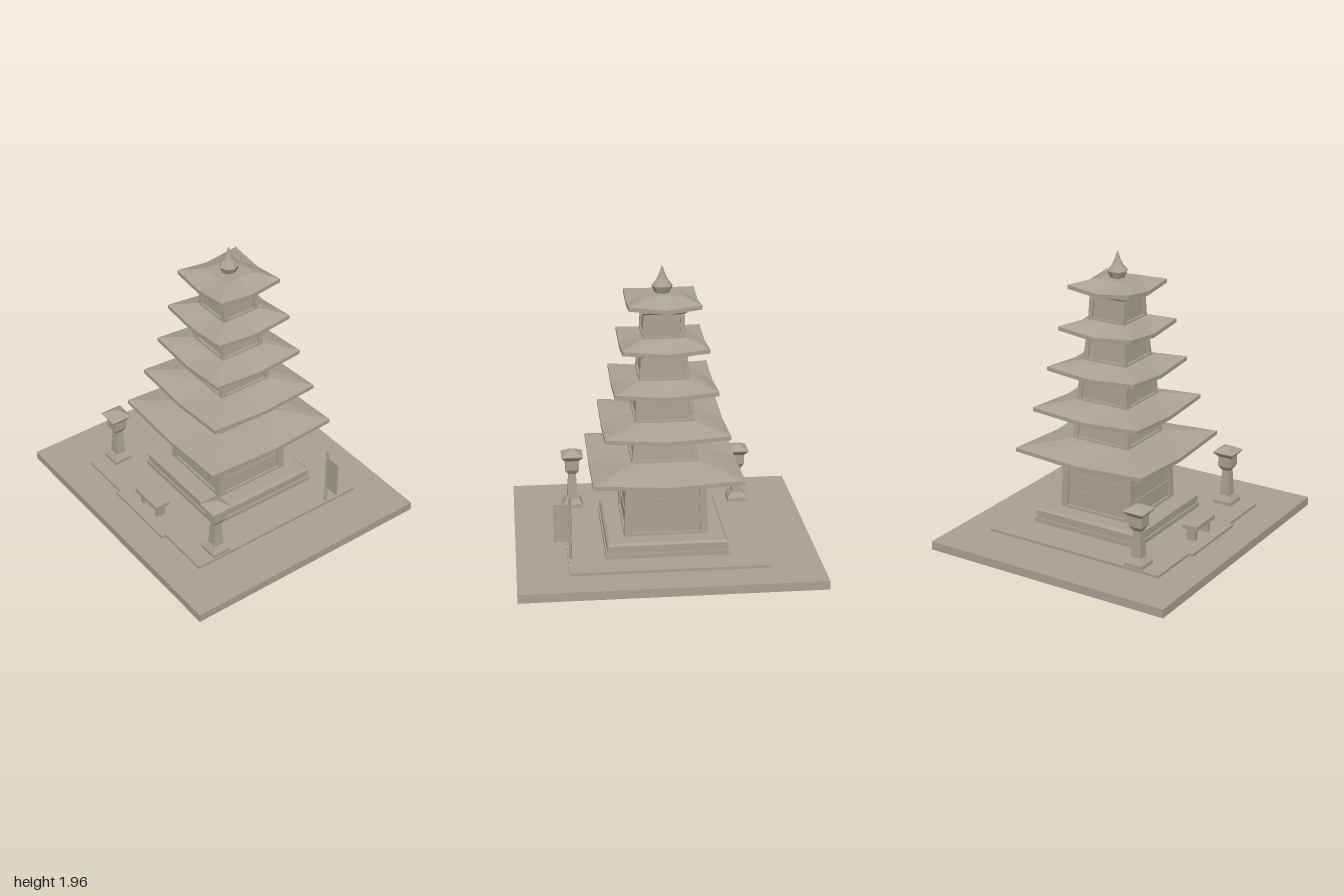
import * as THREE from 'three';

const stone = new THREE.MeshStandardMaterial({ color: 0xa8a292 });

// Mesh with hard-edged faces
function mesh(name, geometry, parent) {
  const g = geometry.index ? geometry.toNonIndexed() : geometry;
  g.computeVertexNormals();
  const m = new THREE.Mesh(g, stone);
  m.name = name;
  parent.add(m);
  return m;
}

// Box from its minimum and maximum corners
function block(name, x0, x1, y0, y1, z0, z1, parent) {
  const g = new THREE.BoxGeometry(x1 - x0, y1 - y0, z1 - z0);
  g.translate((x0 + x1) / 2, (y0 + y1) / 2, (z0 + z1) / 2);
  return mesh(name, g, parent);
}

// Square solid from a profile of [half width, height]
function squareSolid(name, profile, parent) {
  const first = profile[0], last = profile[profile.length - 1];
  const pts = [[0, first[1]], ...profile, [0, last[1]]];
  const g = new THREE.LatheGeometry(
    pts.map(([h, y]) => new THREE.Vector2(h * Math.SQRT2, y)), 4, Math.PI / 4);
  return mesh(name, g, parent);
}

// Roof with eaves that rise toward the four corners
function roof(half, y, topHalf, topY, parent) {
  const rings = [
    [0, y, y], [half, y, y + 0.029], [half, y + 0.027, y + 0.057],
    [topHalf, topY, topY], [0, topY, topY],
  ];
  const dirs = [[1, 0], [1, 1], [0, 1], [-1, 1], [-1, 0], [-1, -1], [0, -1], [1, -1]];
  const point = ([h, mid, corner], k) => {
    const [dx, dz] = dirs[k % 8];
    return [dx * h, dx * dz !== 0 ? corner : mid, dz * h];
  };
  const pos = [];
  for (let r = 0; r < rings.length - 1; r++) {
    for (let k = 0; k < 8; k++) {
      const a = point(rings[r], k), b = point(rings[r], k + 1);
      const c = point(rings[r + 1], k), d = point(rings[r + 1], k + 1);
      if (rings[r][0] > 0) pos.push(...a, ...c, ...b);
      if (rings[r + 1][0] > 0) pos.push(...b, ...c, ...d);
    }
  }
  const g = new THREE.BufferGeometry();
  g.setAttribute('position', new THREE.Float32BufferAttribute(pos, 3));
  return mesh('roof', g, parent);
}

// Tapered storey: recessed walls, leaning corner pillars, rails and cornice
function storey(s, parent) {
  const { y0, y1, bottom, top, pillar, cornice, eaveY } = s;
  const inset = 0.014, rail = 0.02;
  const at = (y) => bottom + (top - bottom) * (y - y0) / (y1 - y0);
  squareSolid('wall', [[bottom - inset, y0], [top - inset, y1]], parent);
  squareSolid('bottomRail', [[bottom, y0], [at(y0 + rail), y0 + rail]], parent);
  squareSolid('topRail', [[at(y1 - rail), y1 - rail], [top, y1]], parent);
  for (const sx of [-1, 1]) for (const sz of [-1, 1]) {
    const g = new THREE.BoxGeometry(pillar, y1 - y0, pillar);
    const p = g.attributes.position;
    for (let i = 0; i < p.count; i++) {
      const off = (p.getY(i) > 0 ? top : bottom) - pillar / 2;
      p.setX(i, p.getX(i) + sx * off);
      p.setZ(i, p.getZ(i) + sz * off);
    }
    g.translate(0, (y0 + y1) / 2, 0);
    mesh('cornerPillar', g, parent);
  }
  squareSolid('cornice', [
    [top, y1], [cornice - 0.012, y1 + 0.012], [cornice, y1 + 0.016], [cornice, eaveY + 0.01],
  ], parent);
  // Thin courses across the panels
  for (const y of s.courses || []) {
    const h = at(y) - inset + 0.007;
    squareSolid('wallCourse', [[h, y - 0.004], [h, y + 0.004]], parent);
  }
}

function lantern(x, z, parent) {
  const g = new THREE.Group();
  g.name = 'stoneLantern';
  g.position.set(x, 0, z);
  squareSolid('lanternFoot', [[0.068, 0.08], [0.068, 0.105], [0.047, 0.14]], g);
  squareSolid('lanternColumn', [[0.037, 0.14], [0.026, 0.33]], g);
  squareSolid('lanternBox', [[0.028, 0.325], [0.048, 0.358], [0.048, 0.43]], g);
  squareSolid('lanternRoof', [[0.045, 0.425], [0.075, 0.46], [0.075, 0.466], [0.022, 0.498], [0.006, 0.503]], g);
  parent.add(g);
}

export function createModel() {
  const model = new THREE.Group();
  model.name = 'stonePagoda';

  // Ground slab and low terrace with a front projection
  block('groundSlab', -1, 1, 0, 0.06, -0.9, 0.9, model);
  const outline = [[-0.66, -0.66], [-0.275, -0.66], [-0.275, -0.69], [0.275, -0.69],
    [0.275, -0.66], [0.66, -0.66], [0.66, 0.665], [-0.66, 0.665]];
  const terrace = new THREE.ExtrudeGeometry(
    new THREE.Shape(outline.map(([x, y]) => new THREE.Vector2(x, y))),
    { depth: 0.02, bevelEnabled: false });
  terrace.rotateX(-Math.PI / 2).translate(0, 0.06, 0);
  mesh('terrace', terrace, model);

  // Tower
  const tower = new THREE.Group();
  tower.name = 'tower';
  tower.position.z = -0.065;
  model.add(tower);
  squareSolid('lowerPlinth', [[0.41, 0.08], [0.41, 0.112]], tower);
  squareSolid('upperPlinth', [[0.4, 0.112], [0.4, 0.165], [0.385, 0.18]], tower);

  const storeys = [
    { y0: 0.18, y1: 0.55, bottom: 0.28, top: 0.268, pillar: 0.05, cornice: 0.295, eaveY: 0.578, eave: 0.493, topHalf: 0.23, topY: 0.675, courses: [0.31, 0.43] },
    { y0: 0.67, y1: 0.83, bottom: 0.222, top: 0.202, pillar: 0.035, cornice: 0.25, eaveY: 0.857, eave: 0.408, topHalf: 0.205, topY: 0.948 },
    { y0: 0.94, y1: 1.105, bottom: 0.197, top: 0.187, pillar: 0.033, cornice: 0.222, eaveY: 1.135, eave: 0.337, topHalf: 0.175, topY: 1.225 },
    { y0: 1.22, y1: 1.38, bottom: 0.166, top: 0.152, pillar: 0.032, cornice: 0.187, eaveY: 1.408, eave: 0.283, topHalf: 0.145, topY: 1.502 },
    { y0: 1.495, y1: 1.66, bottom: 0.141, top: 0.133, pillar: 0.03, cornice: 0.155, eaveY: 1.687, eave: 0.235, topHalf: 0.108, topY: 1.776 },
  ];
  for (const s of storeys) {
    storey(s, tower);
    roof(s.eave, s.eaveY, s.topHalf, s.topY, tower);
  }

  // Eight-sided finial
  const profile = [[0, 1.772], [0.048, 1.772], [0.07, 1.822], [0.036, 1.865], [0.02, 1.9], [0, 1.96]];
  mesh('finial', new THREE.LatheGeometry(profile.map(([r, y]) => new THREE.Vector2(r, y)), 8), tower);

  // Lanterns at the front corners
  lantern(-0.587, 0.468, model);
  lantern(0.585, 0.468, model);

  // Offering table
  block('tableTop', -0.125, 0.125, 0.166, 0.196, 0.52, 0.63, model);
  for (const s of [-1, 1]) {
    block('tableLeg', s * 0.085 - 0.016, s * 0.085 + 0.016, 0.08, 0.168, 0.542, 0.606, model);
  }

  // Sign post with a thin board
  const post = new THREE.CylinderGeometry(0.01, 0.01, 0.434, 8);
  post.translate(0.642, 0.297, -0.428);
  mesh('signPost', post, model);
  block('signBoard', 0.642, 0.75, 0.2, 0.465, -0.433, -0.423, model);

  return model;
}
